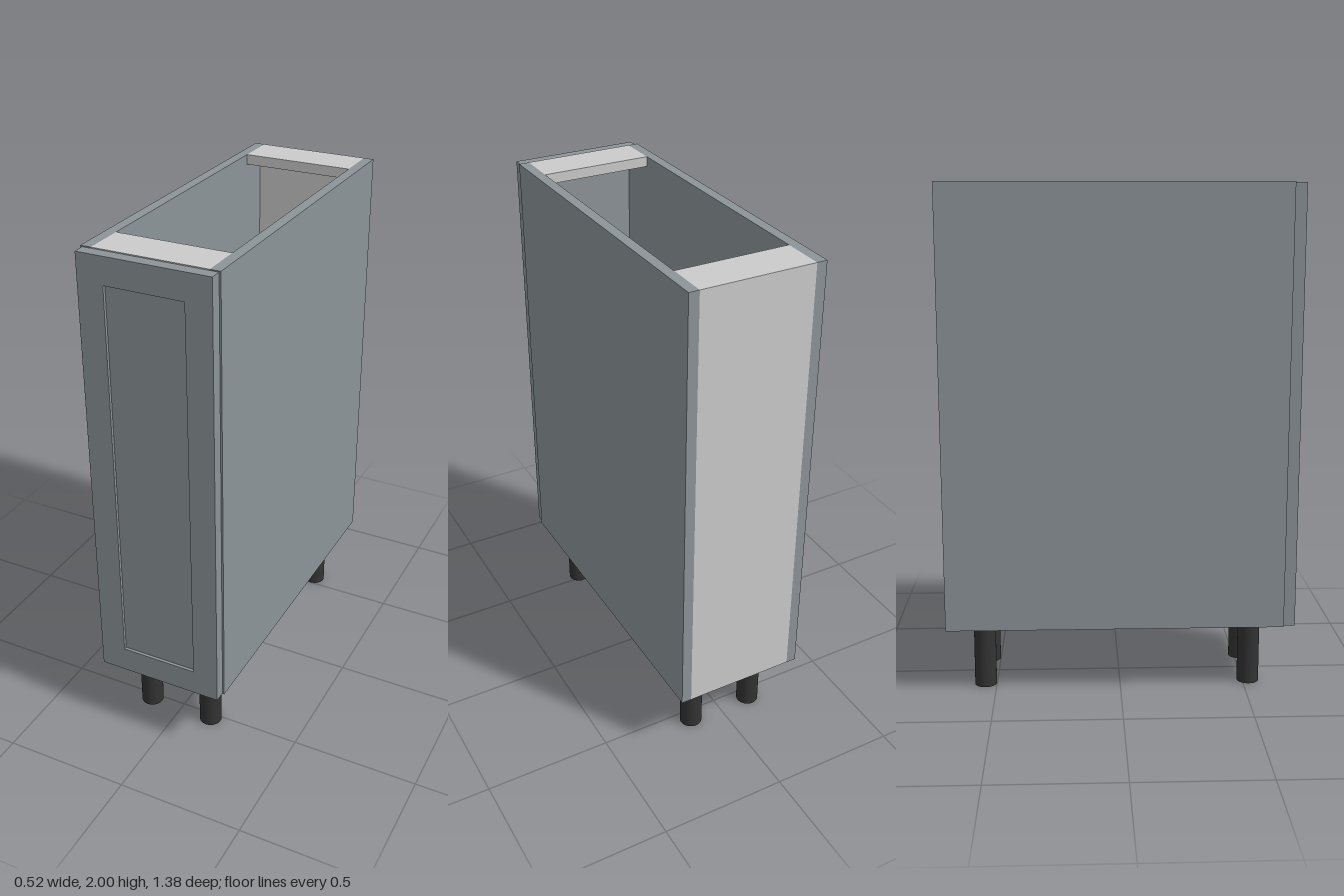
import * as THREE from 'three';

const painted = new THREE.MeshStandardMaterial({ color: 0x8c9498 });
const carcass = new THREE.MeshStandardMaterial({ color: 0xcccccc });
const plastic = new THREE.MeshStandardMaterial({ color: 0x333333 });

const BOTTOM = 0.27, TOP = 2, BACK = -0.69, FRONT = 0.645, T = 0.04;
const INNER = 0.22; // half the width between the side panels

// Box given by its extents along each axis
function panel(name, material, [x0, x1], [y0, y1], [z0, z1]) {
  const mesh = new THREE.Mesh(new THREE.BoxGeometry(x1 - x0, y1 - y0, z1 - z0), material);
  mesh.position.set((x0 + x1) / 2, (y0 + y1) / 2, (z0 + z1) / 2);
  mesh.name = name;
  return mesh;
}

// Framed door with a recessed centre panel
function createDoor() {
  const door = new THREE.Group();
  door.name = 'door';
  const w = 0.253, y0 = 0.273, y1 = 1.996, z0 = FRONT, z1 = 0.69;
  const hw = 0.152, h0 = 0.375, h1 = 1.893, recess = 0.012;

  const outline = new THREE.Shape([
    new THREE.Vector2(-w, y0), new THREE.Vector2(w, y0),
    new THREE.Vector2(w, y1), new THREE.Vector2(-w, y1),
  ]);
  outline.holes.push(new THREE.Path([
    new THREE.Vector2(-hw, h0), new THREE.Vector2(-hw, h1),
    new THREE.Vector2(hw, h1), new THREE.Vector2(hw, h0),
  ]));
  const frame = new THREE.Mesh(
    new THREE.ExtrudeGeometry(outline, { depth: z1 - z0, bevelEnabled: false }), painted);
  frame.position.z = z0;
  frame.name = 'doorFrame';

  door.add(frame, panel('doorPanel', painted, [-hw, hw], [h0, h1], [z0, z1 - recess]));
  return door;
}

export function createModel() {
  const cabinet = new THREE.Group();
  cabinet.name = 'baseCabinet';
  const across = [-INNER, INNER];

  // Side panels
  cabinet.add(
    panel('leftSide', painted, [INNER, 0.26], [BOTTOM, TOP], [BACK, FRONT]),
    panel('rightSide', painted, [-0.26, -INNER], [BOTTOM, TOP], [BACK, FRONT]));

  // Back, floor, shelf and the two top rails
  cabinet.add(
    panel('backPanel', carcass, across, [BOTTOM, TOP - T], [BACK, BACK + T]),
    panel('floor', carcass, across, [BOTTOM, BOTTOM + T], [BACK + T, FRONT]),
    panel('shelf', carcass, [-0.215, 0.215], [1.11, 1.11 + T], [BACK + T, 0.6]),
    panel('backRail', carcass, across, [TOP - T, TOP], [BACK, -0.525]),
    panel('frontRail', carcass, across, [TOP - T, TOP], [0.485, FRONT]));

  cabinet.add(createDoor());

  // Four round feet
  const legGeometry = new THREE.CylinderGeometry(0.044, 0.044, BOTTOM, 32);
  for (const x of [-0.135, 0.135]) {
    for (const z of [-0.545, 0.523]) {
      const leg = new THREE.Mesh(legGeometry, plastic);
      leg.position.set(x, BOTTOM / 2, z);
      leg.name = (z > 0 ? 'front' : 'back') + (x > 0 ? 'Left' : 'Right') + 'Leg';
      cabinet.add(leg);
    }
  }
  return cabinet;
}
